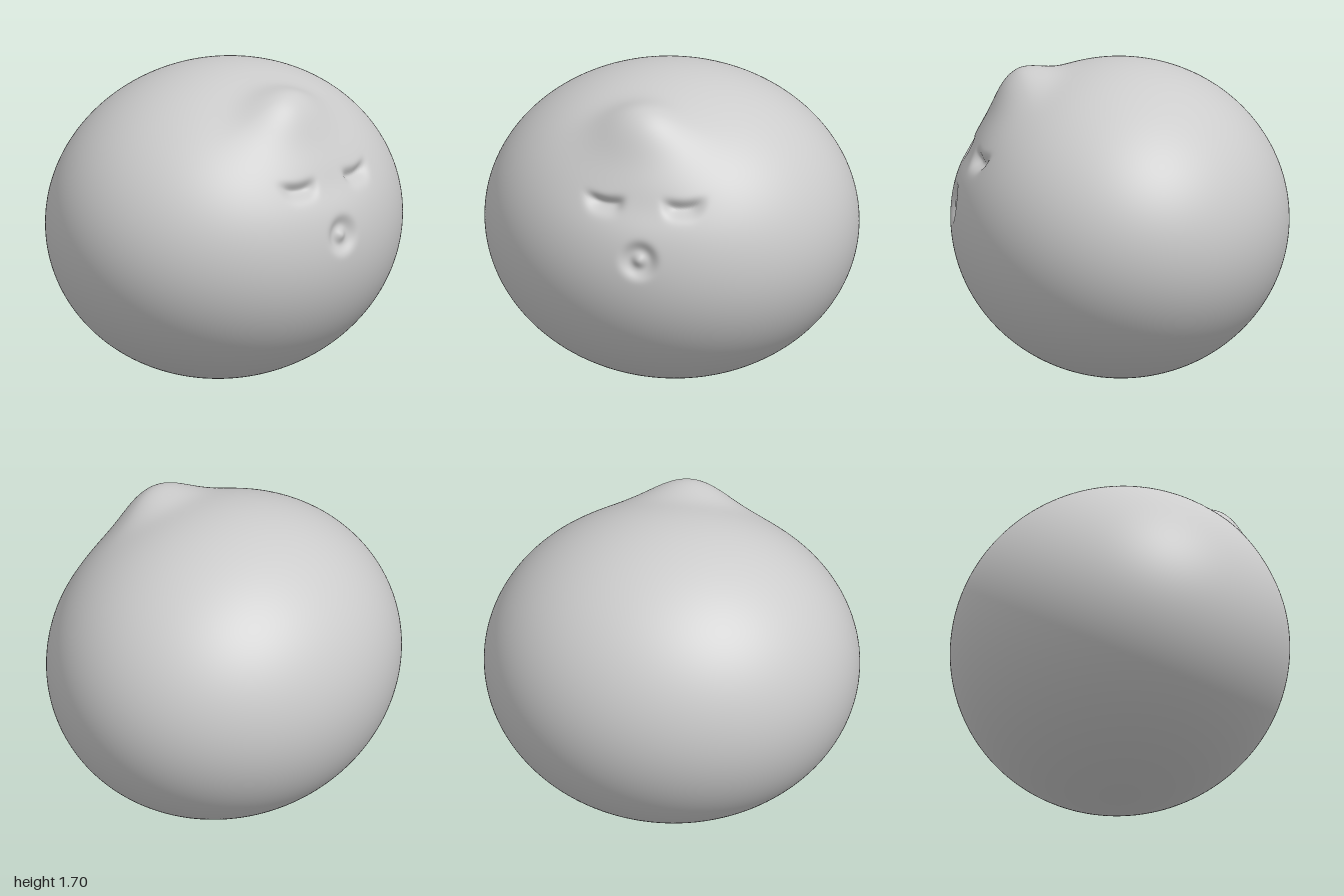
import * as THREE from 'three';
import { mergeVertices } from 'three/addons/utils/BufferGeometryUtils.js';

const RX = 1, RY = 0.85, RZ = 0.9;
const bell = (d, s) => Math.exp(-0.5 * (d / s) ** 2);

// Raised brow: soft ridge, steeper behind than in front
function brow(n) {
  const dx = n.x + 0.05;
  const pitch = THREE.MathUtils.radToDeg(Math.atan2(n.y, n.z));
  const d = pitch - (57 - 25 * dx * dx);
  return 0.122 * bell(d, d > 0 ? 6.5 : 9.5) * bell(dx, 0.16);
}

// Closed eye: curved hollow with a sharp upper lid
function eye(x, y, cx, cy) {
  const dx = x - cx;
  const dy = y - (cy + 1.5 * dx * dx);
  return -0.05 * Math.exp(-((dx / 0.095) ** 4)) * bell(dy, dy > 0 ? 0.018 : 0.032);
}

// Round mouth: shallow pit with a small dome in the middle
function mouth(x, y) {
  const r = Math.hypot(x, y - 0.945);
  return -0.045 * Math.exp(-((r / 0.09) ** 4)) + 0.03 * bell(r, 0.028);
}

function relief(n) {
  if (n.z <= 0) return 0;
  const x = n.x * RX, y = RY + n.y * RY;
  const flat = -0.015 * bell(x, 0.2) * bell(y - 1.21, 0.07);
  return brow(n) + flat + eye(x, y, -0.21, 1.225) + eye(x, y, 0.22, 1.225) + mouth(x, y);
}

export function createModel() {
  const grey = new THREE.MeshStandardMaterial({ color: 0xcccccc });
  grey.name = 'lightGrey';

  // Sphere with its pole at the front, rings crowded toward the face
  let geo = new THREE.SphereGeometry(1, 256, 220);
  geo.rotateX(Math.PI / 2);
  const pos = geo.attributes.position;
  const n = new THREE.Vector3();
  for (let i = 0; i < pos.count; i++) {
    n.fromBufferAttribute(pos, i);
    const t = Math.acos(THREE.MathUtils.clamp(n.z, -1, 1)) / Math.PI;
    const a = Math.PI * (0.5 * t + 0.5 * t * t);
    const around = Math.atan2(n.y, n.x);
    n.set(Math.sin(a) * Math.cos(around), Math.sin(a) * Math.sin(around), Math.cos(a));
    const s = 1 + relief(n);
    pos.setXYZ(i, n.x * RX * s, RY + n.y * RY * s, n.z * RZ * s);
  }

  // Weld the seam so shading is smooth all round
  geo.deleteAttribute('uv');
  geo.deleteAttribute('normal');
  geo = mergeVertices(geo, 1e-5);
  geo.computeVertexNormals();

  const body = new THREE.Mesh(geo, grey);
  body.name = 'bodyWithFace';
  const group = new THREE.Group();
  group.name = 'roundCreature';
  group.add(body);
  return group;
}
